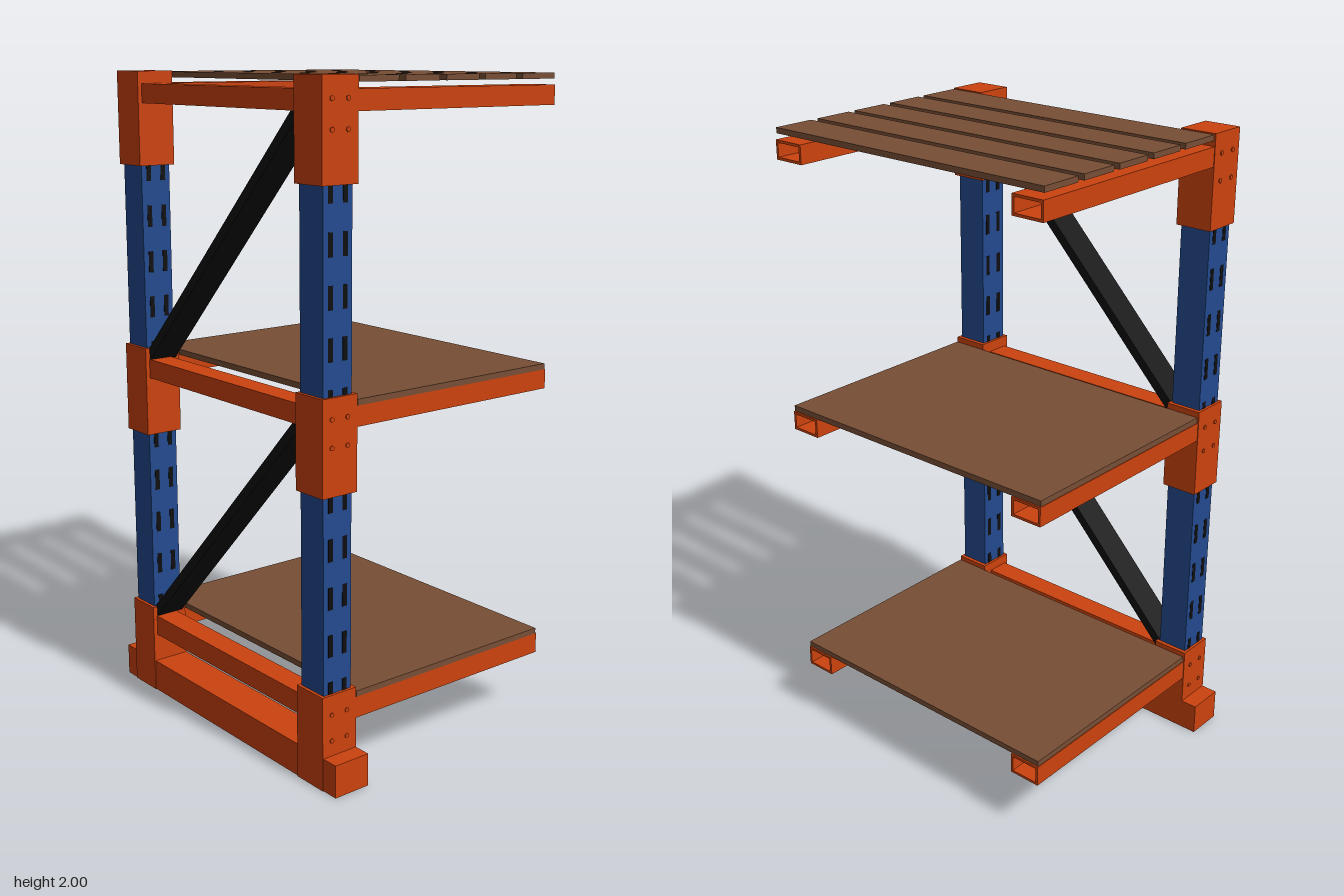
import * as THREE from 'three';

const mat = (name, color) => {
  const m = new THREE.MeshStandardMaterial({ color });
  m.name = name;
  return m;
};

export function createModel() {
  const model = new THREE.Group();
  model.name = 'storageRack';
  const orange = mat('orange steel', 0xcc420e);
  const blue = mat('blue steel', 0x234a8f);
  const brown = mat('brown board', 0x774e35);
  const black = mat('black steel', 0x0e0e10);

  // Box given by its lower and upper limits on each axis
  const box = (name, material, x0, x1, y0, y1, z0, z1, parent = model) => {
    const mesh = new THREE.Mesh(new THREE.BoxGeometry(x1 - x0, y1 - y0, z1 - z0), material);
    mesh.position.set((x0 + x1) / 2, (y0 + y1) / 2, (z0 + z1) / 2);
    mesh.name = name;
    parent.add(mesh);
    return mesh;
  };

  // Open-ended rectangular tube running along z
  const armTube = (x, y0, y1, z0, z1) => {
    const w = 0.052, h = (y1 - y0) / 2, t = 0.008;
    const rect = (Type, a, b) => new Type([
      new THREE.Vector2(-a, -b), new THREE.Vector2(a, -b),
      new THREE.Vector2(a, b), new THREE.Vector2(-a, b),
    ]);
    const shape = rect(THREE.Shape, w, h);
    shape.holes.push(rect(THREE.Path, w - t, h - t));
    const geo = new THREE.ExtrudeGeometry(shape, { depth: z1 - z0, bevelEnabled: false });
    const mesh = new THREE.Mesh(geo, orange);
    mesh.position.set(x, (y0 + y1) / 2, z0);
    mesh.name = 'shelfArm';
    model.add(mesh);
  };

  // Foot rail
  box('baseRail', orange, -0.555, 0.555, 0, 0.1, 0.315, 0.435);

  // Posts with slots, sleeves and bolts on both sides
  const sleeves = [[0, 0.287], [0.87, 1.15], [1.717, 2]];
  const spans = [[0.287, 0.87], [1.15, 1.717]];
  const boltGeo = new THREE.CylinderGeometry(0.007, 0.007, 0.006, 10).rotateZ(Math.PI / 2);
  for (const side of [-1, 1]) {
    const cx = side * 0.442;
    box('post', blue, cx - 0.05, cx + 0.05, 0.1, 1.9, 0.328, 0.428);

    // Slot rows on the inner and outer faces, clipped at the sleeves
    const slots = new THREE.Group();
    slots.name = 'postSlots';
    model.add(slots);
    for (const [low, high] of spans) {
      for (let i = 0; i < 5; i++) {
        const y = high - 0.014 - i * 0.1415;
        const y0 = Math.max(low, y - 0.033), y1 = Math.min(high, y + 0.033);
        if (y1 - y0 < 0.005) continue;
        for (const z of [0.352, 0.403]) {
          for (const face of [-0.05, 0.05]) {
            box('slot', black, cx + face - 0.001, cx + face + 0.001, y0, y1, z - 0.008, z + 0.008, slots);
          }
        }
      }
    }

    for (const [y0, y1] of sleeves) {
      box('sleeve', orange, cx - 0.059, cx + 0.059, y0, y1, 0.315, 0.438);
      for (const dy of [0.06, 0.14]) {
        for (const z of [0.35, 0.405]) {
          const bolt = new THREE.Mesh(boltGeo, orange);
          bolt.position.set(cx + side * 0.059, y1 - dy, z);
          bolt.name = 'bolt';
          model.add(bolt);
        }
      }
    }
  }

  // Cross beam and cantilever arms at each level
  for (const [y0, y1] of [[0.19, 0.255], [1.055, 1.115], [1.905, 1.963]]) {
    box('crossBeam', orange, -0.39, 0.39, y0, y1, 0.35, 0.425);
    for (const x of [-0.447, 0.447]) armTube(x, y0, y1, -0.435, 0.316);
  }

  // Solid boards on the two lower levels
  for (const y of [0.255, 1.115]) box('shelfBoard', brown, -0.497, 0.5, y, y + 0.018, -0.43, 0.312);

  // Spaced planks on the top level
  const planks = [[0.174, 0.312], [0.026, 0.15], [-0.124, 0], [-0.272, -0.148], [-0.43, -0.297]];
  for (const [z0, z1] of planks) box('topPlank', brown, -0.497, 0.5, 1.98, 1.997, z0, z1);

  // Diagonal braces
  for (const [y0, y1] of [[0.27, 1.055], [1.125, 1.905]]) {
    const dx = 0.76, dy = y1 - y0;
    const brace = new THREE.Mesh(new THREE.BoxGeometry(Math.hypot(dx, dy) + 0.01, 0.03, 0.095), black);
    brace.position.set(-0.008, (y0 + y1) / 2, 0.376);
    brace.rotation.z = Math.atan2(dy, dx);
    brace.name = 'diagonalBrace';
    model.add(brace);
  }

  return model;
}
